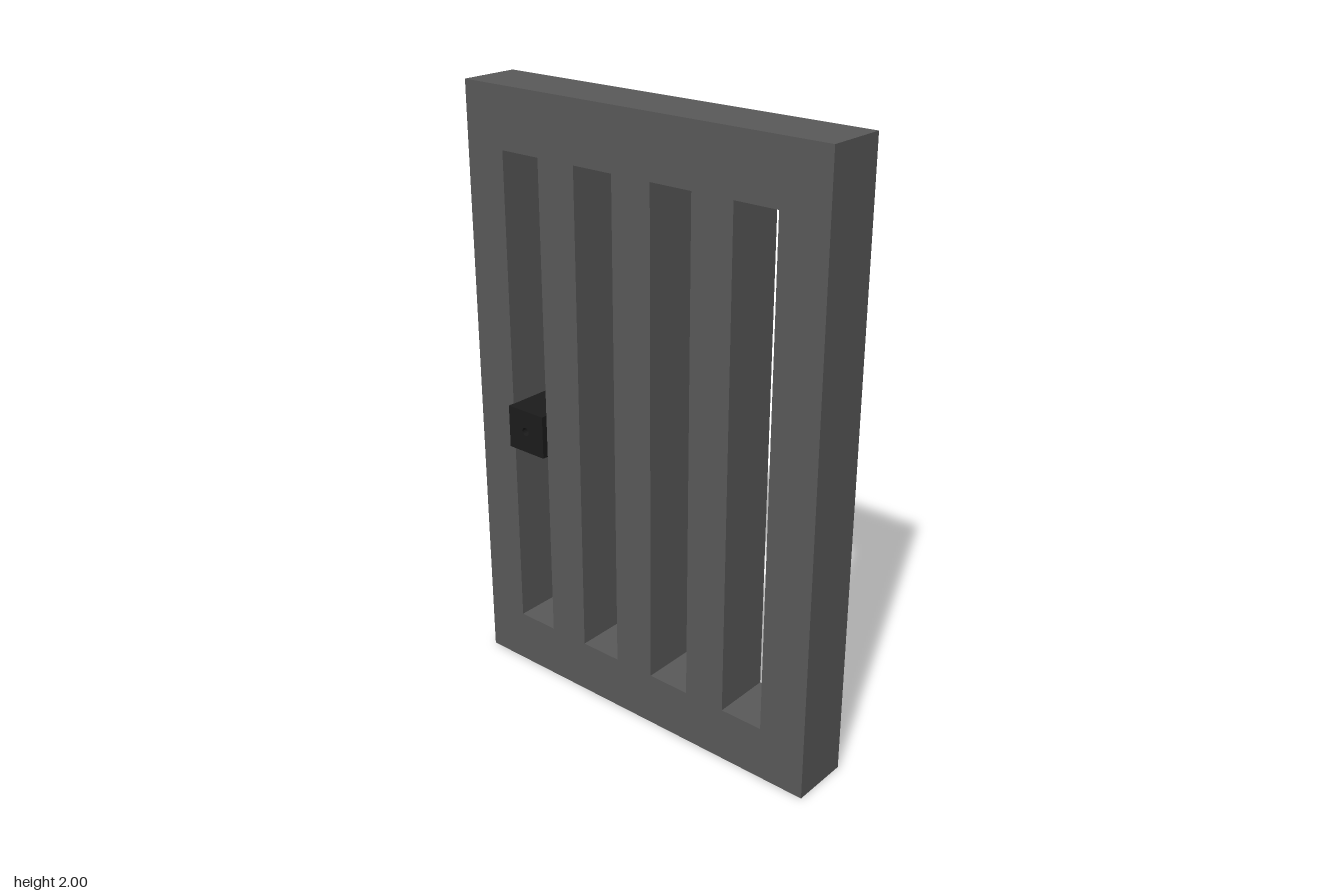
import * as THREE from 'three';

// Counter-clockwise rectangle outline, added to a Shape or a hole Path
function rect(path, u0, v0, u1, v1) {
  path.moveTo(u0, v0);
  path.lineTo(u1, v0);
  path.lineTo(u1, v1);
  path.lineTo(u0, v1);
  path.closePath();
  return path;
}

// Extrudes a side profile (u = -z, v = y) from x0 to x1
function slab(name, shape, x0, x1, color) {
  const geometry = new THREE.ExtrudeGeometry(shape, { depth: x1 - x0, bevelEnabled: false, curveSegments: 8 });
  geometry.rotateY(Math.PI / 2);
  geometry.translate(x0, 0, 0);
  const mesh = new THREE.Mesh(geometry, new THREE.MeshStandardMaterial({ color }));
  mesh.name = name;
  return mesh;
}

export function createModel() {
  const model = new THREE.Group();
  model.name = 'barredDoor';

  // Door panel with four tall slots between the bars
  const panel = rect(new THREE.Shape(), -0.667, 0, 0.667, 2);
  for (let i = 0; i < 4; i++) {
    const u = -0.506 + i * 0.292;
    panel.holes.push(rect(new THREE.Path(), u, 0.18, u + 0.148, 1.805));
  }
  model.add(slab('doorPanel', panel, -0.105, 0.095, 0x5a5a5a));

  // Lock block in the last slot, with a round keyhole right through
  const lock = rect(new THREE.Shape(), 0.37, 0.83, 0.52, 0.975);
  lock.holes.push(new THREE.Path().absarc(0.447, 0.902, 0.014, 0, Math.PI * 2, true));
  model.add(slab('lock', lock, -0.125, 0.125, 0x1c1c1c));

  return model;
}
